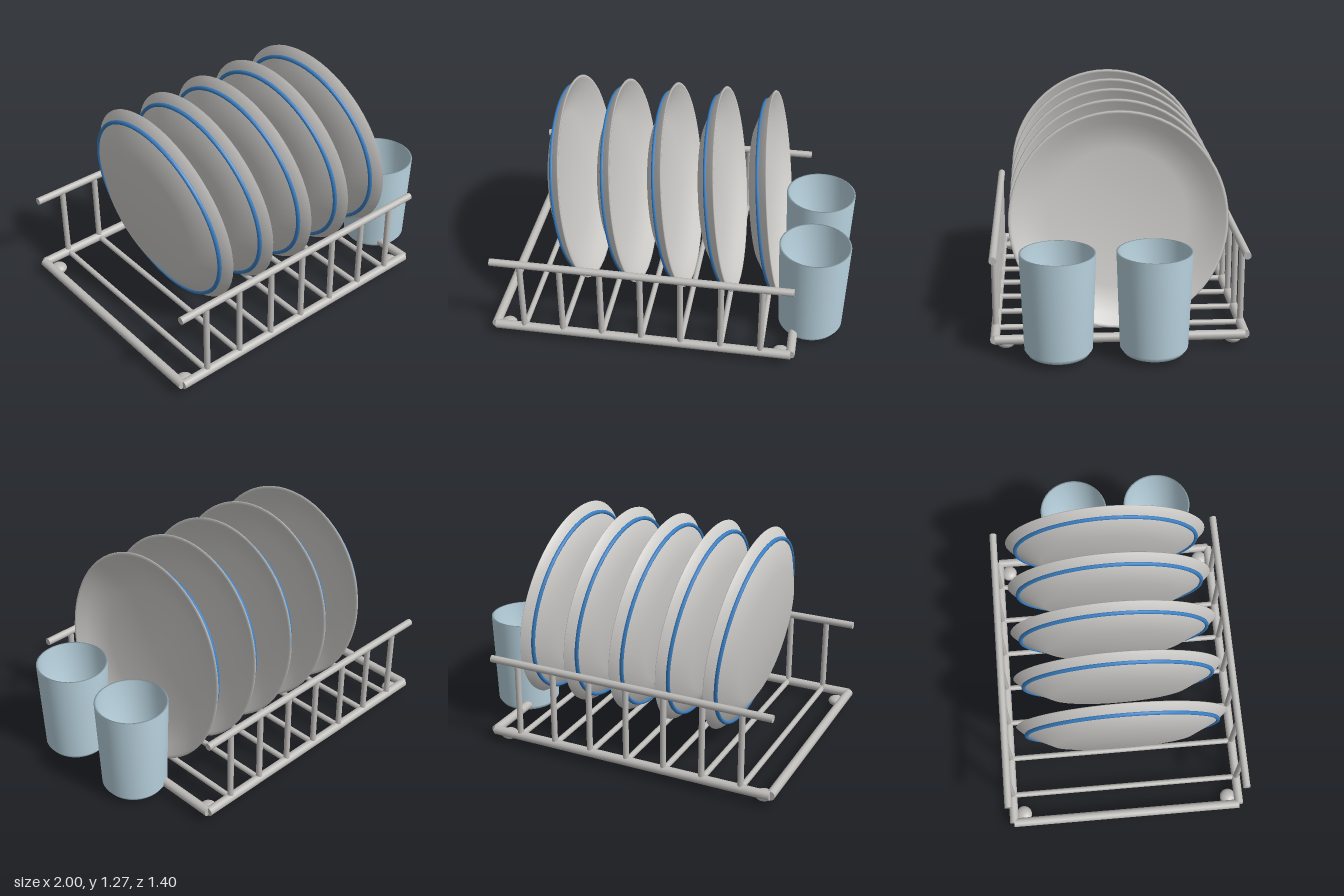
import * as THREE from 'three';

const material = (name, color) => {
  const m = new THREE.MeshStandardMaterial({ color });
  m.name = name;
  return m;
};

export function createModel() {
  const root = new THREE.Group();
  root.name = 'dishRack';
  const metal = material('rackMetal', 0xbebcb9);
  const ceramic = material('plateCeramic', 0xcecdca);
  const blue = material('bandBlue', 0x3a80c4);
  const cup = material('tumblerBlue', 0xb9d3df);

  const add = (parent, name, geometry, mat, x = 0, y = 0, z = 0) => {
    const mesh = new THREE.Mesh(geometry, mat);
    mesh.name = name;
    mesh.position.set(x, y, z);
    parent.add(mesh);
    return mesh;
  };
  const profile = (pts) => pts.map(([r, y]) => new THREE.Vector2(r, y));

  // Rack: rods along one axis
  const rack = new THREE.Group();
  rack.name = 'rack';
  root.add(rack);
  const rod = (name, axis, radius, length, x, y, z) => {
    const g = new THREE.CylinderGeometry(radius, radius, length, 14);
    if (axis === 'x') g.rotateZ(Math.PI / 2);
    if (axis === 'z') g.rotateX(Math.PI / 2);
    return add(rack, name, g, metal, x, y, z);
  };
  const left = -0.974, right = 0.712, midX = (left + right) / 2;
  const railY = 0.068, topY = 0.517, railZ = 0.675;

  for (const s of [-1, 1]) {
    rod('baseRail', 'x', 0.026, right - left, midX, railY, s * railZ);
    rod('topRail', 'x', 0.021, right - left, midX, topY, s * railZ);
    rod('endRail', 'z', 0.026, 2 * railZ, s < 0 ? left : right, railY, 0);
    // Flattened feet at the corners
    for (const x of [-0.918, 0.655]) {
      const foot = add(rack, 'foot', new THREE.SphereGeometry(0.048, 20, 12), metal, x, 0.03, s * 0.617);
      foot.scale.y = 0.62;
    }
  }

  // Floor bars with an upright at each end
  for (let i = 0; i < 7; i++) {
    const x = -0.807 + i * 0.225;
    rod('floorBar', 'z', 0.016, 2 * railZ, x, railY, 0);
    for (const s of [-1, 1]) rod('upright', 'y', 0.017, topY - railY, x, (topY + railY) / 2, s * railZ);
  }

  // Leaning plates, each with a blue band on the underside
  const plateGeometry = new THREE.LatheGeometry(profile([
    [0, -0.121], [0.39, -0.121], [0.54, -0.05], [0.593, -0.003],
    [0.588, 0.002], [0.575, 0], [0.52, -0.035], [0.38, -0.098], [0, -0.098],
  ]), 64);
  const bandGeometry = new THREE.TorusGeometry(0.538, 0.012, 8, 64).rotateX(Math.PI / 2);
  for (let i = 0; i < 5; i++) {
    const plate = new THREE.Group();
    plate.name = 'plate';
    add(plate, 'dish', plateGeometry, ceramic);
    add(plate, 'blueBand', bandGeometry, blue, 0, -0.051, 0);
    plate.position.set(-0.559 + i * 0.281, 0.679, 0);
    plate.rotation.z = -Math.PI / 2 + 0.137;
    root.add(plate);
  }

  // Tumblers beside the rack
  const tumblerGeometry = new THREE.LatheGeometry(profile([
    [0, 0.03], [0.163, 0.03], [0.182, 0.057], [0.201, 0.587],
    [0.19, 0.587], [0.172, 0.07], [0, 0.065],
  ]), 40);
  for (const z of [0.335, -0.172]) add(root, 'tumbler', tumblerGeometry, cup, 0.798, 0, z);

  return root;
}
